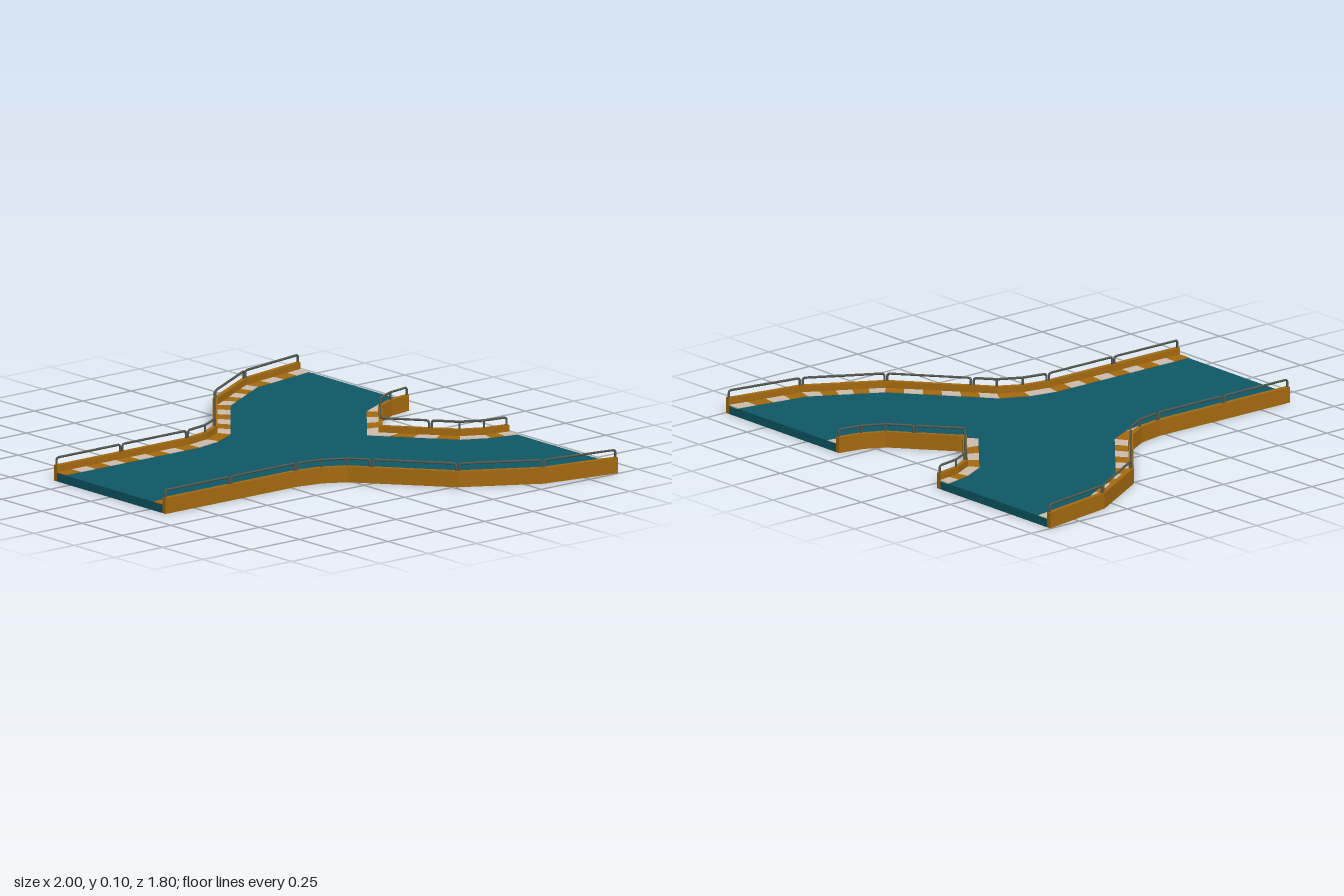
import * as THREE from 'three';

const DECK_TOP = 0.035, WALL_TOP = 0.065, RAIL_Y = 0.095, WALL_T = 0.27;
const mat = (color) => new THREE.MeshStandardMaterial({ color });

// Edge lines as [x, z] for the +x half: outer face of the wall, and inner border of the stripes
const sideEdge = {
  outer: [[0.348, 0.9], [0.348, 0.22], [0.37, 0.11], [0.42, 0.02], [0.762, -0.265], [0.937, -0.565], [0.998, -0.9]],
  inner: [[0.275, 0.9], [0.275, 0.21], [0.3, 0.09], [0.355, -0.02], [0.71, -0.315], [0.868, -0.585], [0.925, -0.9]],
  stripes: [9, 1, 1, 6, 5, 4],
};
const forkEdge = {
  outer: [[0, -0.512], [0.24, -0.71], [0.283, -0.795], [0.302, -0.9]],
  inner: [[0, -0.43], [0.29, -0.67], [0.346, -0.78], [0.372, -0.9]],
  stripes: [4, 1, 2],
};

const mix = (a, b, t) => [a[0] + (b[0] - a[0]) * t, a[1] + (b[1] - a[1]) * t];
const mirror = (pts, s) => pts.map(([x, z]) => [x * s, z]);
const between = (edge, t) => edge.outer.map((p, i) => mix(p, edge.inner[i], t));

// Upright prism over a plan outline
function prism(pts, y0, y1) {
  const shape = new THREE.Shape(pts.map(([x, z]) => new THREE.Vector2(x, -z)));
  const g = new THREE.ExtrudeGeometry(shape, { depth: y1 - y0, bevelEnabled: false });
  return g.rotateX(-Math.PI / 2).translate(0, y0, 0);
}

// Tube through points with rounded corners
function roundedTube(pts, radius, corner) {
  const path = new THREE.CurvePath();
  let from = pts[0];
  for (let i = 1; i < pts.length - 1; i++) {
    const p = pts[i];
    const toward = (q) => p.clone().lerp(q, Math.min(0.45, corner / p.distanceTo(q)));
    const a = toward(pts[i - 1]), b = toward(pts[i + 1]);
    path.add(new THREE.LineCurve3(from, a));
    path.add(new THREE.QuadraticBezierCurve3(a, p, b));
    from = b;
  }
  path.add(new THREE.LineCurve3(from, pts[pts.length - 1]));
  return new THREE.TubeGeometry(path, Math.ceil(path.getLength() / 0.005), radius, 6);
}

export function createModel() {
  const model = new THREE.Group();
  const teal = mat(0x0f5866), orange = mat(0xa56a10), beige = mat(0xcdbdae), steel = mat(0x555a50);
  const add = (name, geometry, material, parent = model) => {
    const mesh = new THREE.Mesh(geometry, material);
    mesh.name = name;
    parent.add(mesh);
  };

  // Road deck
  const side = between(sideEdge, WALL_T), fork = between(forkEdge, WALL_T);
  add('roadDeck', prism([
    ...side, ...fork.slice().reverse(), ...mirror(fork.slice(1), -1), ...mirror(side, -1).reverse(),
  ], 0, DECK_TOP), teal);

  for (const s of [1, -1]) {
    const half = new THREE.Group();
    half.name = s > 0 ? 'leftEdge' : 'rightEdge';
    model.add(half);

    for (const [label, edge] of [['side', sideEdge], ['fork', forkEdge]]) {
      // Low wall
      const face = between(edge, WALL_T);
      add(label + 'Wall', prism(mirror([...edge.outer, ...face.slice().reverse()], s), 0, WALL_TOP), orange, half);

      // Alternating kerb stripes
      let k = label === 'side' ? 0 : 1;
      edge.stripes.forEach((n, i) => {
        for (let j = 0; j < n; j++, k++) {
          const at = (line, t) => mix(line[i], line[i + 1], t);
          const quad = [at(face, j / n), at(face, (j + 1) / n), at(edge.inner, (j + 1) / n), at(edge.inner, j / n)];
          add('kerbStripe', prism(mirror(quad, s), DECK_TOP - 0.002, DECK_TOP + 0.003), k % 2 ? beige : orange, half);
        }
      });
    }
  }

  // Handrails: bent bar with rounded ends, plus posts at inner bends
  const GAP = 0.006;
  function handrail(plan, posts) {
    const pts = plan.map(([x, z]) => new THREE.Vector3(x, RAIL_Y, z));
    const n = pts.length - 1;
    const shrink = (a, b) => a.clone().add(b.clone().sub(a).setLength(GAP));
    const first = shrink(pts[0], pts[1]), last = shrink(pts[n], pts[n - 1]);
    const foot = (p) => p.clone().setY(WALL_TOP - 0.005);
    add('handrail', roundedTube([foot(first), first, ...pts.slice(1, n), last, foot(last)], 0.005, 0.012), steel);
    if (!posts) return;
    for (const p of pts.slice(1, n)) {
      const h = RAIL_Y - WALL_TOP;
      add('railPost', new THREE.CylinderGeometry(0.0045, 0.0045, h, 6).translate(p.x, WALL_TOP + h / 2, p.z), steel);
    }
  }
  const a = between(sideEdge, WALL_T / 2), b = between(forkEdge, WALL_T / 2);
  const sideMid = mix(a[0], a[1], 0.5), bendEnd = mix(a[3], a[4], 0.22), forkMid = mix(b[0], b[1], 0.63);
  for (const s of [1, -1]) {
    handrail(mirror([a[0], sideMid], s));
    handrail(mirror([sideMid, a[1]], s));
    handrail(mirror([a[1], a[2], a[3], bendEnd], s), true);
    handrail(mirror([bendEnd, a[4]], s));
    handrail(mirror([a[4], a[5]], s));
    handrail(mirror([a[5], a[6]], s));
    handrail(mirror([forkMid, b[1], b[2], b[3]], s), true);
  }
  handrail([[-forkMid[0], forkMid[1]], b[0], forkMid]);

  return model;
}
